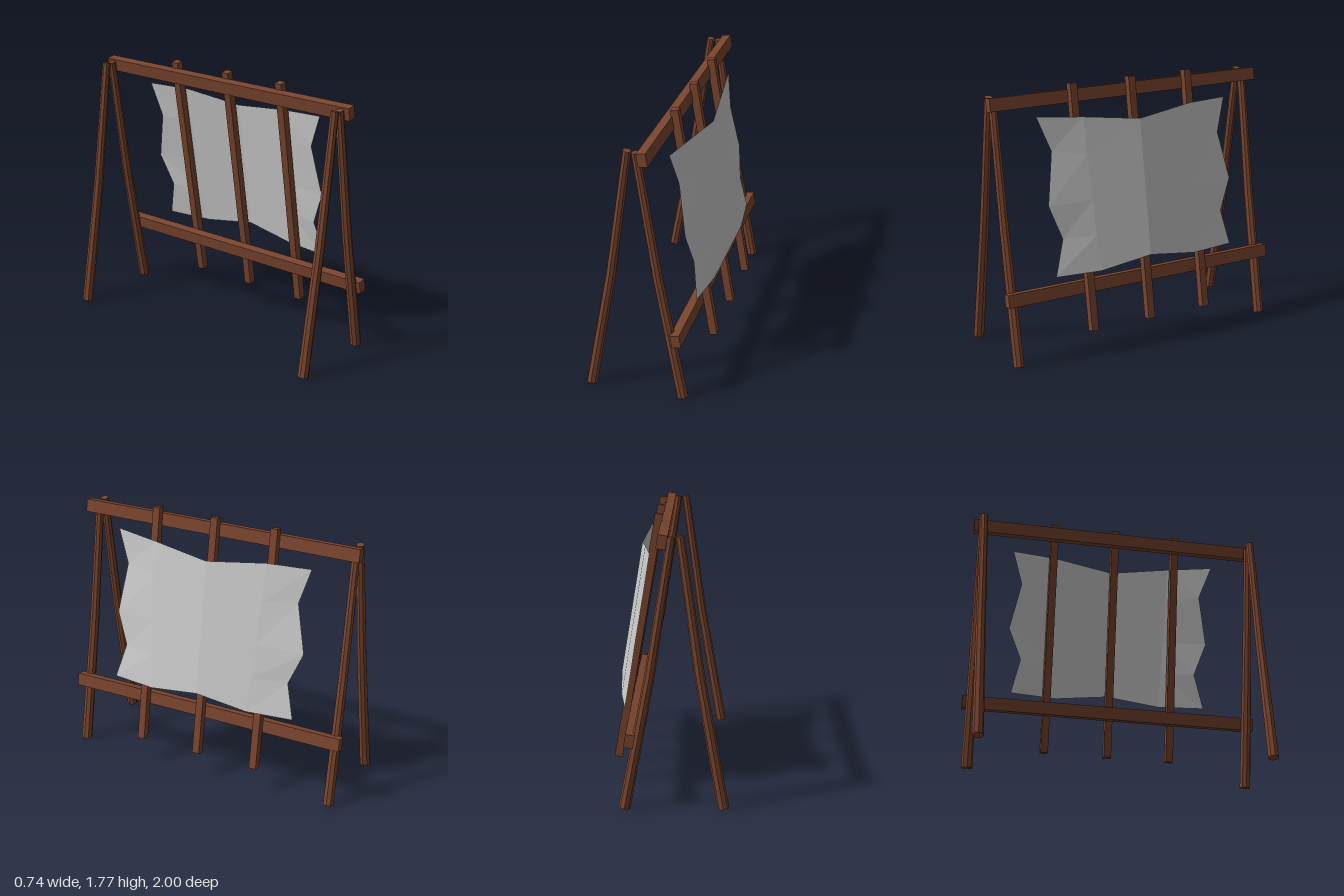
import * as THREE from 'three';

const wood = new THREE.MeshStandardMaterial({ color: 0x7a452e, flatShading: true });
const cloth = new THREE.MeshStandardMaterial({ color: 0xcccccc, flatShading: true, side: THREE.DoubleSide });
const TILT = 0.167;

// Slightly bowed, tapering pole between two points [x, y] at depth z
function pole(name, top, foot, bow, z) {
  const dx = top[0] - foot[0], dy = top[1] - foot[1];
  const geo = new THREE.CylinderGeometry(0.027, 0.037, Math.hypot(dx, dy), 8, 2);
  const pos = geo.attributes.position;
  for (let i = 0; i < pos.count; i++) {
    if (Math.abs(pos.getY(i)) < 0.01) pos.setX(i, pos.getX(i) + bow);
  }
  geo.computeVertexNormals();
  const mesh = new THREE.Mesh(geo, wood);
  mesh.name = name;
  mesh.position.set((top[0] + foot[0]) / 2, (top[1] + foot[1]) / 2, z);
  mesh.rotation.z = -Math.atan2(dx, dy);
  return mesh;
}

// Timber leaning with the rack
function timber(name, size, x, y, z) {
  const mesh = new THREE.Mesh(new THREE.BoxGeometry(...size), wood);
  mesh.name = name;
  mesh.position.set(x, y, z);
  mesh.rotation.z = TILT;
  return mesh;
}

// Sheet folded down its middle, with ragged edges
function makeSheet() {
  const rowsZ = [ // column depths for each row, top to bottom
    [0.71, 0.40, 0, -0.41, -0.71],
    [0.625, 0.39, 0, -0.40, -0.64],
    [0.68, 0.38, 0, -0.39, -0.71],
    [0.60, 0.37, 0, -0.37, -0.62],
    [0.67, 0.36, 0, -0.36, -0.675],
  ];
  const rowsY = [
    [1.585, 1.56, 1.51, 1.56, 1.56],
    [1.36, 1.32, 1.27, 1.31, 1.33],
    [1.02, 1.03, 1.03, 1.03, 1.01],
    [0.80, 0.80, 0.82, 0.80, 0.80],
    [0.565, 0.565, 0.62, 0.565, 0.565],
  ];
  const bulge = [0, 0.04, 0.072, 0.04, 0];
  const points = [], index = [];
  for (let r = 0; r < 5; r++) {
    for (let c = 0; c < 5; c++) {
      const y = rowsY[r][c];
      points.push(0.283 - (y - 0.565) * 0.162 + bulge[c], y, rowsZ[r][c]);
      if (r < 4 && c < 4) {
        const a = r * 5 + c;
        index.push(a, a + 5, a + 1, a + 1, a + 5, a + 6);
      }
    }
  }
  const geo = new THREE.BufferGeometry();
  geo.setAttribute('position', new THREE.Float32BufferAttribute(points, 3));
  geo.setIndex(index);
  geo.computeVertexNormals();
  const mesh = new THREE.Mesh(geo, cloth);
  mesh.name = 'sheet';
  return mesh;
}

export function createModel() {
  const group = new THREE.Group();
  group.name = 'dryingRack';

  // A-frame legs at both ends
  for (const z of [0.945, -0.945]) {
    group.add(pole('backLeg', [-0.07, 1.705], [-0.34, 0.007], 0.015, z));
    group.add(pole('frontLeg', [-0.018, 1.7], [0.272, 0.007], -0.013, z));
  }

  // Long crossbeams
  group.add(timber('upperBeam', [0.06, 0.085, 2], 0.037, 1.677, 0));
  group.add(timber('lowerBeam', [0.06, 0.085, 2], 0.238, 0.45, 0));

  // Leaning slats
  for (const z of [0.43, 0, -0.43]) {
    group.add(timber('slat', [0.052, 1.615, 0.05], 0.206, 0.97, z));
  }

  group.add(makeSheet());
  return group;
}
